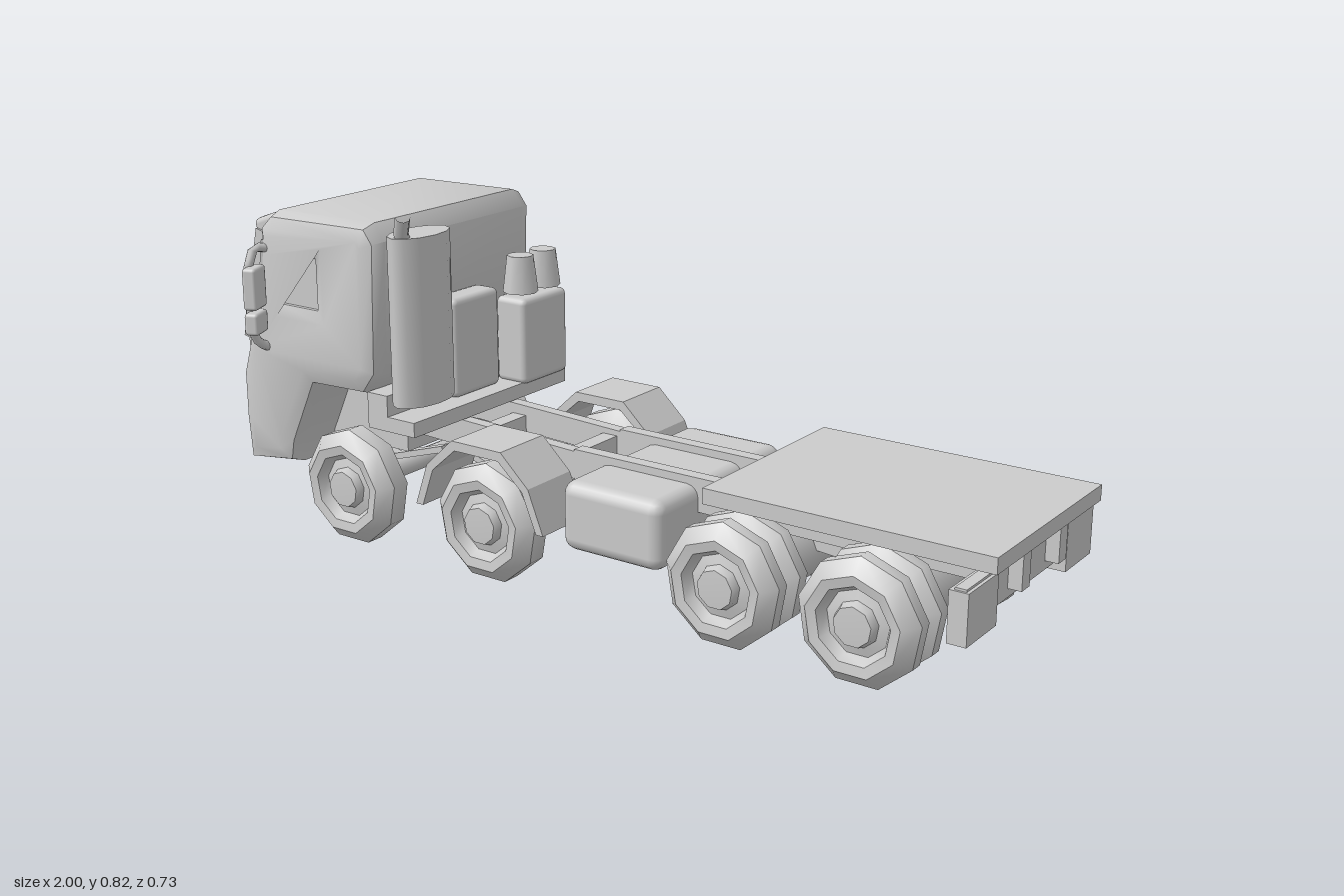
import * as THREE from 'three';
import { toCreasedNormals } from 'three/addons/utils/BufferGeometryUtils.js';
import { RoundedBoxGeometry } from 'three/addons/geometries/RoundedBoxGeometry.js';

const grey = new THREE.MeshStandardMaterial({ color: 0xcccccc });
const AXLE_Y = 0.132;

export function createModel() {
  const truck = new THREE.Group();
  truck.name = 'truck';

  const add = (name, geometry, x = 0, y = 0, z = 0) => {
    const mesh = new THREE.Mesh(geometry, grey);
    mesh.name = name;
    mesh.position.set(x, y, z);
    truck.add(mesh);
    return mesh;
  };
  // Box given by its limits on each axis
  const box = (name, x0, x1, y0, y1, z0, z1, r = 0) => {
    const size = [x1 - x0, y1 - y0, z1 - z0];
    const g = r ? new RoundedBoxGeometry(...size, 2, r) : new THREE.BoxGeometry(...size);
    return add(name, g, (x0 + x1) / 2, (y0 + y1) / 2, (z0 + z1) / 2);
  };
  const vec = (p) => new THREE.Vector3(...p);
  // Square bar between two points
  const bar = (name, a, b, w, h) => {
    const A = vec(a), B = vec(b);
    const mesh = add(name, new THREE.BoxGeometry(w, h, A.distanceTo(B)));
    mesh.position.copy(A).add(B).multiplyScalar(0.5);
    mesh.lookAt(B);
    return mesh;
  };
  const pipe = (name, pts, r) => {
    const path = new THREE.CurvePath();
    for (let i = 1; i < pts.length; i++) path.add(new THREE.LineCurve3(vec(pts[i - 1]), vec(pts[i])));
    return add(name, new THREE.TubeGeometry(path, (pts.length - 1) * 3, r, 8));
  };
  const outline = (pts) => new THREE.Shape(pts.map((p) => new THREE.Vector2(...p)));
  const crossCylinder = (name, r, width, x, y, z = 0, sides = 8) =>
    add(name, new THREE.CylinderGeometry(r, r, width, sides).rotateX(Math.PI / 2), x, y, z);

  // Cab shell: side outline with chamfered flanks and side window openings
  const cab = outline([
    [-0.975, 0.135], [-0.81, 0.155], [-0.80, 0.21], [-0.73, 0.36], [-0.57, 0.365],
    [-0.53, 0.42], [-0.52, 0.73], [-0.55, 0.77], [-0.85, 0.765], [-0.90, 0.73],
    [-0.905, 0.67], [-0.96, 0.44], [-0.985, 0.36], [-0.985, 0.25],
  ]);
  cab.holes.push(outline([[-0.83, 0.56], [-0.83, 0.66], [-0.72, 0.66], [-0.72, 0.56]]));
  const cabGeometry = new THREE.ExtrudeGeometry(cab, {
    depth: 0.49, bevelEnabled: true, bevelThickness: 0.045, bevelSize: 0.04,
    bevelOffset: -0.04, bevelSegments: 2,
  });
  // Bevel rounds the outline inward, so put the full outline at mid width
  cabGeometry.translate(0, 0, -0.245);
  add('cab', toCreasedNormals(shiftOutline(cabGeometry), 0.7));
  box('sideWindows', -0.875, -0.675, 0.515, 0.705, -0.272, 0.272);
  box('engineBay', -0.8, -0.56, 0.2, 0.38, -0.15, 0.15);
  const visor = box('sunVisor', -0.935, -0.86, 0.705, 0.745, -0.25, 0.25, 0.015);
  visor.rotation.z = 0.35;
  for (const s of [1, -1])
    bar('windscreenPillar', [-0.968, 0.44, s * 0.24], [-0.908, 0.71, s * 0.24], 0.03, 0.03);
  bar('windscreenSill', [-0.97, 0.43, -0.24], [-0.97, 0.43, 0.24], 0.025, 0.03);
  box('grillePanel', -0.997, -0.96, 0.335, 0.40, -0.17, 0.17, 0.01);
  box('frontStep', -0.995, -0.96, 0.22, 0.27, -0.09, 0.09, 0.008);

  // Mirrors on bent arms
  for (const s of [1, -1]) {
    pipe('mirrorArm', [[-0.86, 0.68, s * 0.285], [-0.87, 0.685, s * 0.315], [-0.87, 0.64, s * 0.335],
      [-0.87, 0.49, s * 0.335], [-0.87, 0.455, s * 0.315], [-0.87, 0.44, s * 0.285]], 0.011);
    for (const [y0, y1] of [[0.485, 0.538], [0.545, 0.645]]) {
      const m = box('mirror', -0.872, -0.838, y0, y1, s * 0.333 - 0.032, s * 0.333 + 0.032, 0.008);
      m.rotation.y = s * 0.4;
    }
  }

  // Equipment behind the cab
  box('equipmentShelf', -0.56, -0.42, 0.295, 0.33, -0.28, 0.28);
  box('shelfSupport', -0.56, -0.50, 0.32, 0.38, -0.28, 0.28);
  box('centreCabinet', -0.53, -0.46, 0.33, 0.57, -0.08, 0.085, 0.015);
  box('sideCabinet', -0.50, -0.41, 0.325, 0.537, -0.28, -0.11, 0.015);
  for (const z of [-0.154, -0.241])
    add('airIntake', new THREE.CylinderGeometry(0.032, 0.043, 0.09, 8), -0.455, 0.59, z);
  const stack = add('exhaustStack', new THREE.CylinderGeometry(1, 1, 0.39, 12), -0.45, 0.56, 0.21);
  stack.scale.set(0.05, 1, 0.09);
  pipe('exhaustPipe', [[-0.44, 0.74, 0.27], [-0.44, 0.765, 0.278], [-0.415, 0.808, 0.298]], 0.017);

  // Chassis
  for (const s of [1, -1]) {
    const z = s * 0.088;
    bar('frontRail', [-0.72, 0.27, z], [-0.1, 0.245, z], 0.03, 0.065);
    box('rearRail', -0.1, 0.95, 0.205, 0.283, z - 0.016, z + 0.016);
    box('towBracket', 0.89, 0.99, 0.205, 0.28, z - 0.018, z + 0.018);
    box('bedSupport', 0.36, 0.92, 0.275, 0.295, z - 0.025, z + 0.025);
  }
  for (const x of [-0.4, -0.13, 0.27, 0.56, 0.87]) box('crossMember', x - 0.02, x + 0.02, 0.215, 0.265, -0.08, 0.08);
  bar('driveShaft', [-0.55, 0.24, 0], [0.65, 0.15, 0], 0.035, 0.035);
  box('fuelTank', -0.03, 0.235, 0.105, 0.265, -0.25, 0.25, 0.03);
  box('loadBed', 0.34, 1, 0.29, 0.325, -0.248, 0.248);

  // Rear bar and lamp blocks
  box('rearBar', 0.935, 0.96, 0.185, 0.265, -0.29, 0.29);
  for (const s of [1, -1]) box('rearLamp', 0.925, 0.967, 0.15, 0.26, s * 0.23 - 0.065, s * 0.23 + 0.065);

  // Wheels: nine-sided tyre with a dished rim and raised hub
  const wheelGeometry = (w) => {
    const h = w / 2;
    const profile = [
      [0, -h + 0.01], [0.085, -h + 0.01], [0.1, -h], [0.14, -h + 0.025], [0.14, h - 0.03],
      [0.108, h], [0.085, h - 0.004], [0.072, h - 0.028], [0.05, h - 0.022], [0.043, h - 0.002], [0, h],
    ].map((p) => new THREE.Vector2(...p));
    const g = new THREE.LatheGeometry(profile, 9, Math.PI).rotateX(Math.PI / 2);
    return toCreasedNormals(g.toNonIndexed(), 0.75);
  };
  const single = wheelGeometry(0.1), dual = wheelGeometry(0.085);
  const wheel = (g, x, z, faceOut) => {
    add('wheel', g, x, AXLE_Y, z).rotation.y = faceOut > 0 ? 0 : Math.PI;
  };
  for (const x of [-0.635, -0.22]) {
    crossCylinder('frontAxle', 0.025, 0.44, x, AXLE_Y);
    for (const s of [1, -1]) {
      wheel(single, x, s * 0.25, s);
      bar('leafSpring', [x - 0.16, 0.215, s * 0.11], [x, 0.165, s * 0.11], 0.03, 0.015);
      bar('leafSpring', [x, 0.165, s * 0.11], [x + 0.16, 0.215, s * 0.11], 0.03, 0.015);
    }
  }
  for (const x of [0.405, 0.725]) {
    crossCylinder('rearAxle', 0.026, 0.5, x, AXLE_Y);
    crossCylinder('differential', 0.08, 0.18, x, AXLE_Y + 0.005);
    for (const s of [1, -1]) {
      wheel(dual, x, s * 0.258, s);
      wheel(dual, x, s * 0.172, -s);
    }
  }

  // Angular mudguards over the second axle
  const guard = outline([
    [-0.40, 0.15], [-0.365, 0.25], [-0.29, 0.32], [-0.15, 0.32], [-0.075, 0.25], [-0.035, 0.15],
    [-0.055, 0.15], [-0.092, 0.24], [-0.158, 0.298], [-0.282, 0.298], [-0.348, 0.24], [-0.38, 0.15],
  ]);
  const guardGeometry = new THREE.ExtrudeGeometry(guard, { depth: 0.15, bevelEnabled: false });
  for (const s of [1, -1]) add('mudguard', guardGeometry, 0, 0, s > 0 ? 0.153 : -0.303);

  return truck;
}

// Tapers the nose slightly toward the sides so the front bows outward
function shiftOutline(geometry) {
  const p = geometry.attributes.position;
  for (let i = 0; i < p.count; i++) {
    const side = Math.abs(p.getZ(i)) / 0.29;
    if (p.getX(i) < -0.88) p.setX(i, p.getX(i) + 0.012 * side * side);
  }
  geometry.computeVertexNormals();
  return geometry;
}
